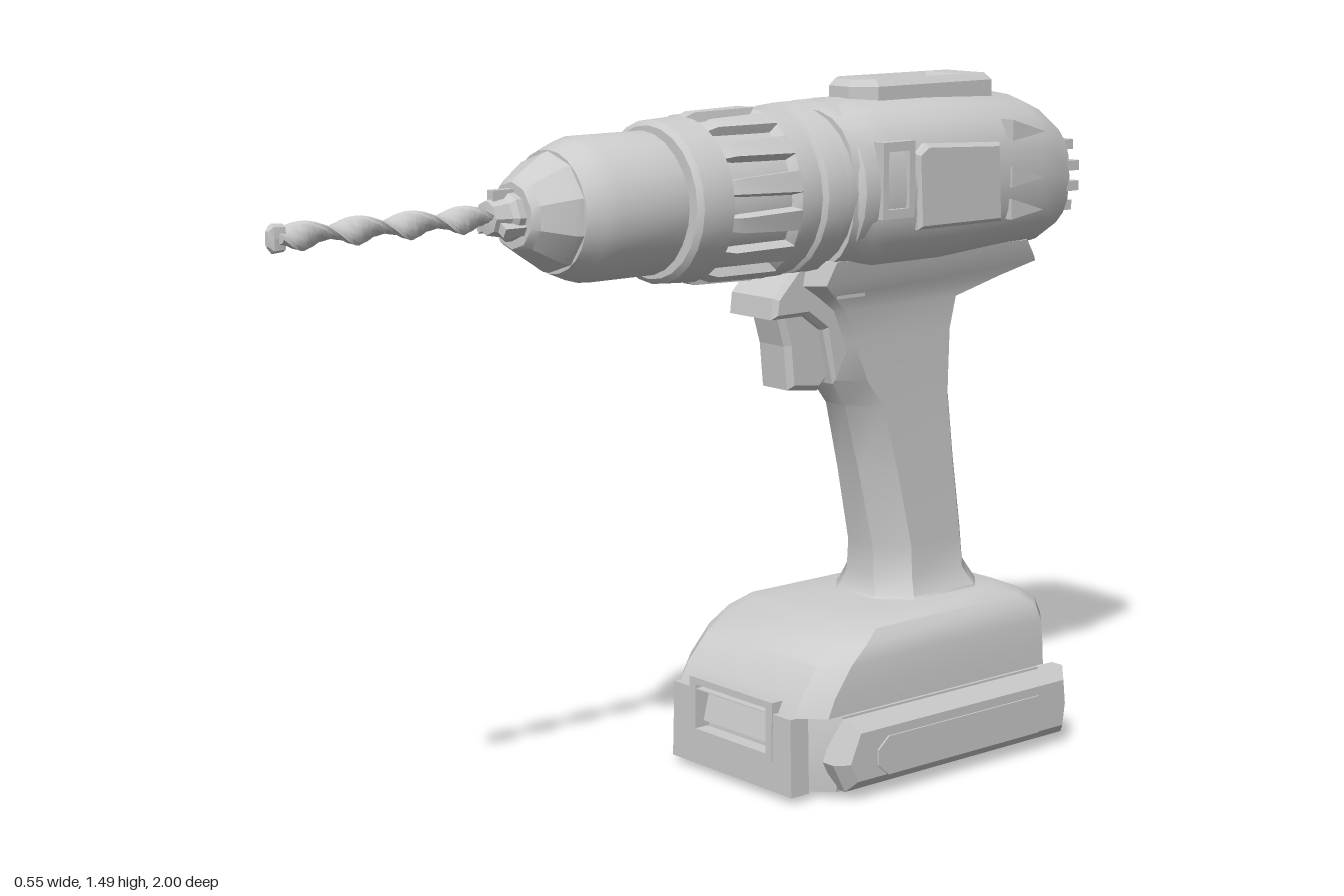
import * as THREE from 'three';
import { toCreasedNormals } from 'three/addons/utils/BufferGeometryUtils.js';

const material = new THREE.MeshStandardMaterial({ color: 0xcccccc, side: THREE.DoubleSide });
const AXIS = 1.275; // height of the drill axis

function add(group, name, geometry) {
  const mesh = new THREE.Mesh(geometry, material);
  mesh.name = name;
  group.add(mesh);
  return mesh;
}

// Skin a list of equal-length rings of [x, y, z], capped at both ends
function loft(rings, crease = 0.6) {
  const n = rings[0].length, last = rings.length - 1;
  const pos = rings.flat(2), index = [];
  for (let r = 0; r < last; r++) {
    for (let i = 0; i < n; i++) {
      const a = r * n + i, b = r * n + (i + 1) % n;
      index.push(a, b, b + n, a, b + n, a + n);
    }
  }
  for (const r of [0, last]) {
    const c = pos.length / 3;
    for (let k = 0; k < 3; k++) pos.push(rings[r].reduce((s, p) => s + p[k], 0) / n);
    for (let i = 0; i < n; i++) {
      const a = r * n + i, b = r * n + (i + 1) % n;
      index.push(c, ...(r ? [a, b] : [b, a]));
    }
  }
  const g = new THREE.BufferGeometry();
  g.setAttribute('position', new THREE.Float32BufferAttribute(pos, 3));
  g.setIndex(index);
  return toCreasedNormals(g, crease);
}

// Rounded-square outline as [u, v] pairs
function superellipse(n, a, b, p) {
  const f = (t) => Math.sign(t) * Math.pow(Math.abs(t), 2 / p);
  return Array.from({ length: n }, (_, i) => {
    const t = (i / n) * Math.PI * 2;
    return [a * f(Math.cos(t)), b * f(Math.sin(t))];
  });
}

// Level outline with cut corners, for stacks along y
function cutRect(y, hx, zf, zb, c) {
  return [[zf, -hx + c], [zf, hx - c], [zf - c, hx], [zb + c, hx],
    [zb, hx - c], [zb, -hx + c], [zb + c, -hx], [zf - c, -hx]].map(([z, x]) => [x, y, z]);
}

// Surface of revolution around the drill axis from [z, radius] pairs
function turned(profile, segments = 24) {
  const g = new THREE.LatheGeometry(profile.map(([z, r]) => new THREE.Vector2(r, z)), segments);
  g.rotateX(Math.PI / 2).translate(0, AXIS, 0);
  return toCreasedNormals(g, 0.5);
}

const shapeOf = (points) => new THREE.Shape(points.map((p) => new THREE.Vector2(...p)));
const rect = (x0, y0, x1, y1) => [[x0, y0], [x1, y0], [x1, y1], [x0, y1]];

// Side profile in [z, y], extruded across x from x0 to x1
function sidePlate(shape, x0, x1, bevel = 0) {
  const g = new THREE.ExtrudeGeometry(shape, {
    depth: x1 - x0 - 2 * bevel, bevelEnabled: bevel > 0, bevelSize: bevel,
    bevelOffset: -bevel, bevelThickness: bevel, bevelSegments: 1,
  });
  return g.rotateY(-Math.PI / 2).translate(x1 - bevel, 0, 0);
}

function addPair(group, name, shape, x0, x1, bevel) {
  add(group, name + 'Left', sidePlate(shape, x0, x1, bevel));
  add(group, name + 'Right', sidePlate(shape, -x1, -x0, bevel));
}

function box(w, h, d, x, y, z) {
  return new THREE.BoxGeometry(w, h, d).translate(x, y, z);
}

export function createModel() {
  const root = new THREE.Group();
  root.name = 'cordlessDrill';

  // Motor housing: [z, half width, bottom, top]
  add(root, 'motorHousing', loft([
    [-0.98, 0.13, 1.17, 1.36], [-0.965, 0.155, 1.13, 1.4], [-0.92, 0.168, 1.11, 1.43],
    [-0.86, 0.178, 1.105, 1.452], [-0.6, 0.186, 1.09, 1.46], [-0.4, 0.186, 1.09, 1.46],
    [-0.36, 0.18, 1.095, 1.455], [-0.3, 0.17, 1.105, 1.445],
  ].map(([z, a, lo, hi]) => superellipse(24, a, (hi - lo) / 2, 2.6)
    .map(([x, y]) => [x, y + (lo + hi) / 2, z]))));

  // Gear collars and clutch ring
  add(root, 'gearCollar', turned([[-0.38, 0.1], [-0.38, 0.186], [-0.32, 0.186], [-0.31, 0.172],
    [-0.28, 0.172], [-0.27, 0.184], [-0.22, 0.18], [-0.21, 0.165], [-0.2, 0.1]]));
  add(root, 'clutchRing', turned([[-0.22, 0.1], [-0.205, 0.177], [-0.15, 0.178], [-0.135, 0.162],
    [0.02, 0.158], [0.025, 0.17], [0.1, 0.166], [0.11, 0.155], [0.11, 0.08]]));
  const ribs = new THREE.Group();
  ribs.name = 'clutchRibs';
  for (let i = 0; i < 14; i++) {
    const rib = add(ribs, 'clutchRib', loft([[-0.15, 0.027, 0.179], [0, 0.02, 0.176], [0.03, 0.017, 0.165]]
      .map(([z, w, r]) => [[-w, 0.145, z], [w, 0.145, z], [w * 0.8, r, z], [-w * 0.8, r, z]])));
    rib.rotation.z = (i / 14) * Math.PI * 2;
  }
  ribs.position.y = AXIS;
  root.add(ribs);

  // Chuck with faceted nose and jaws
  add(root, 'chuckSleeve', turned([[0.09, 0.1], [0.1, 0.13], [0.115, 0.132], [0.125, 0.146],
    [0.29, 0.146], [0.32, 0.138], [0.36, 0.122], [0.36, 0.08]]));
  add(root, 'chuckNose', turned([[0.34, 0.08], [0.35, 0.122], [0.375, 0.116], [0.435, 0.078],
    [0.45, 0.066], [0.45, 0]], 10));
  add(root, 'chuckJaws', turned([[0.44, 0.05], [0.465, 0.05], [0.475, 0.04], [0.51, 0.034], [0.515, 0]], 8));
  for (let i = 0; i < 3; i++) {
    const jaw = add(root, 'chuckJaw', box(0.02, 0.03, 0.07, 0, 0.038, 0.465));
    jaw.position.y = AXIS;
    jaw.rotation.z = (i / 3) * Math.PI * 2;
  }

  // Twisted drill bit with a wider cutting tip
  const bit = [];
  for (let i = 0; i <= 48; i++) {
    const t = i / 48, turn = t * Math.PI * 4, c = Math.cos(turn), s = Math.sin(turn);
    bit.push(superellipse(10, 0.028, 0.012, 2)
      .map(([u, v]) => [u * c - v * s, AXIS + u * s + v * c, 0.5 + t * 0.48]));
  }
  add(root, 'drillBit', loft(bit, 0.8));
  add(root, 'bitTip', loft([[0.965, 0.012, 0.026], [0.99, 0.012, 0.028], [1, 0.005, 0.016]]
    .map(([z, a, b]) => superellipse(8, a, b, 3).map(([x, y]) => [x, y + AXIS, z]))));

  // Grip blending into the housing: [y, half width, front z, back z, corner cut]
  add(root, 'grip', loft([
    [0.33, 0.15, -0.44, -0.81, 0.07], [0.37, 0.12, -0.48, -0.785, 0.06], [0.41, 0.103, -0.49, -0.765, 0.06],
    [0.48, 0.099, -0.49, -0.76, 0.06], [0.65, 0.094, -0.45, -0.738, 0.06], [0.8, 0.09, -0.41, -0.722, 0.06],
    [0.86, 0.09, -0.365, -0.718, 0.055], [0.95, 0.09, -0.33, -0.715, 0.05], [1.02, 0.092, -0.3, -0.73, 0.05],
    [1.055, 0.1, -0.26, -0.86, 0.05], [1.08, 0.11, -0.22, -0.97, 0.06], [1.13, 0.12, -0.24, -0.93, 0.06],
  ].map((s) => cutRect(...s)), 0.7));

  // Trigger, its hood and the direction switch
  add(root, 'trigger', sidePlate(shapeOf([[-0.36, 1.08], [-0.38, 0.9], [-0.32, 0.845], [-0.235, 0.855],
    [-0.225, 0.95], [-0.2, 1.03], [-0.21, 1.08]]), -0.05, 0.05, 0.012));
  add(root, 'triggerHood', sidePlate(shapeOf([[-0.4, 1.13], [-0.4, 0.95], [-0.34, 0.86], [-0.31, 0.98],
    [-0.26, 1.015], [-0.165, 1.015], [-0.17, 1.06], [-0.24, 1.13]]), -0.075, 0.075, 0.01));
  add(root, 'directionSwitch', box(0.2, 0.025, 0.08, 0, 1.06, -0.36));

  // Raised top block with slider recess
  const top = shapeOf([[-0.07, 0.8], [-0.07, 0.46], [-0.03, 0.41], [0.03, 0.41], [0.07, 0.46], [0.07, 0.8]]);
  top.holes.push(shapeOf(rect(-0.042, 0.5, 0.042, 0.71)));
  add(root, 'topBlock', new THREE.ExtrudeGeometry(top, {
    depth: 0.045, bevelThickness: 0.015, bevelSize: 0.012, bevelOffset: -0.012, bevelSegments: 1,
  }).rotateX(Math.PI / 2).scale(1, 1, -1).translate(0, 1.483, 0));
  add(root, 'speedSlider', box(0.07, 0.035, 0.08, 0, 1.468, -0.62));

  // Side panels, window frames and vents
  addPair(root, 'sidePanel', shapeOf([[-0.72, 1.19], [-0.47, 1.19], [-0.46, 1.35], [-0.49, 1.37], [-0.71, 1.36]]),
    0.15, 0.192, 0.008);
  const frame = shapeOf(rect(-0.45, 1.22, -0.36, 1.38));
  frame.holes.push(shapeOf(rect(-0.435, 1.24, -0.375, 1.36)));
  addPair(root, 'windowFrame', frame, 0.15, 0.193);
  for (const y of [1.19, 1.26, 1.36]) {
    addPair(root, 'sideVent', shapeOf([[-0.85, y + 0.015], [-0.75, y], [-0.75, y + 0.045]]), 0.15, 0.186);
  }

  // Rear vent ribs
  for (let i = 0; i < 4; i++) {
    const w = i % 3 ? 0.31 : 0.27;
    add(root, 'rearVentRib', box(w, 0.022, 0.045, 0, 1.2 + i * 0.045, -0.973));
  }

  // Foot that the battery slides onto
  add(root, 'foot', loft([
    [0.19, 0.237, -0.13, -0.882, 0.05], [0.23, 0.235, -0.15, -0.882, 0.05], [0.29, 0.23, -0.2, -0.88, 0.05],
    [0.325, 0.222, -0.25, -0.87, 0.05], [0.35, 0.2, -0.3, -0.84, 0.05], [0.365, 0.15, -0.43, -0.81, 0.06],
  ].map((s) => cutRect(...s)), 0.5));

  // Battery pack with side rails and strips
  add(root, 'battery', loft([
    [0.005, 0.15, -0.2, -0.8, 0.03], [0.02, 0.225, -0.155, -0.87, 0.06],
    [0.1, 0.235, -0.155, -0.885, 0.06], [0.185, 0.232, -0.165, -0.88, 0.06],
  ].map((s) => cutRect(...s)), 0.5));
  addPair(root, 'batteryRail', shapeOf([[-0.885, 0.025], [-0.22, 0.025], [-0.185, 0.09], [-0.225, 0.18],
    [-0.885, 0.18], [-0.895, 0.1]]), 0.19, 0.272, 0.025);
  addPair(root, 'railStrip', shapeOf([[-0.78, 0.05], [-0.32, 0.05], [-0.29, 0.075], [-0.29, 0.11],
    [-0.32, 0.135], [-0.78, 0.135], [-0.81, 0.11], [-0.81, 0.075]]), 0.25, 0.276);
  add(root, 'rearPad', box(0.22, 0.1, 0.02, 0, 0.12, -0.885));

  // Front plate with release button recess
  const plate = shapeOf([[-0.195, 0.02], [0.195, 0.02], [0.19, 0.19], [-0.19, 0.19]]);
  plate.holes.push(shapeOf(rect(-0.12, 0.095, 0.12, 0.188)));
  add(root, 'batteryFront', new THREE.ExtrudeGeometry(plate, { depth: 0.05, bevelEnabled: false })
    .translate(0, 0, -0.165));
  const rim = shapeOf(rect(-0.135, 0.085, 0.135, 0.215));
  rim.holes.push(shapeOf(rect(-0.115, 0.1, 0.115, 0.2)));
  add(root, 'releaseRim', new THREE.ExtrudeGeometry(rim, { depth: 0.035, bevelEnabled: false })
    .translate(0, 0, -0.147));
  const button = add(root, 'releaseButton', box(0.22, 0.075, 0.02, 0, 0, 0));
  button.position.set(0, 0.15, -0.15);
  button.rotation.x = -0.25;

  return root;
}
